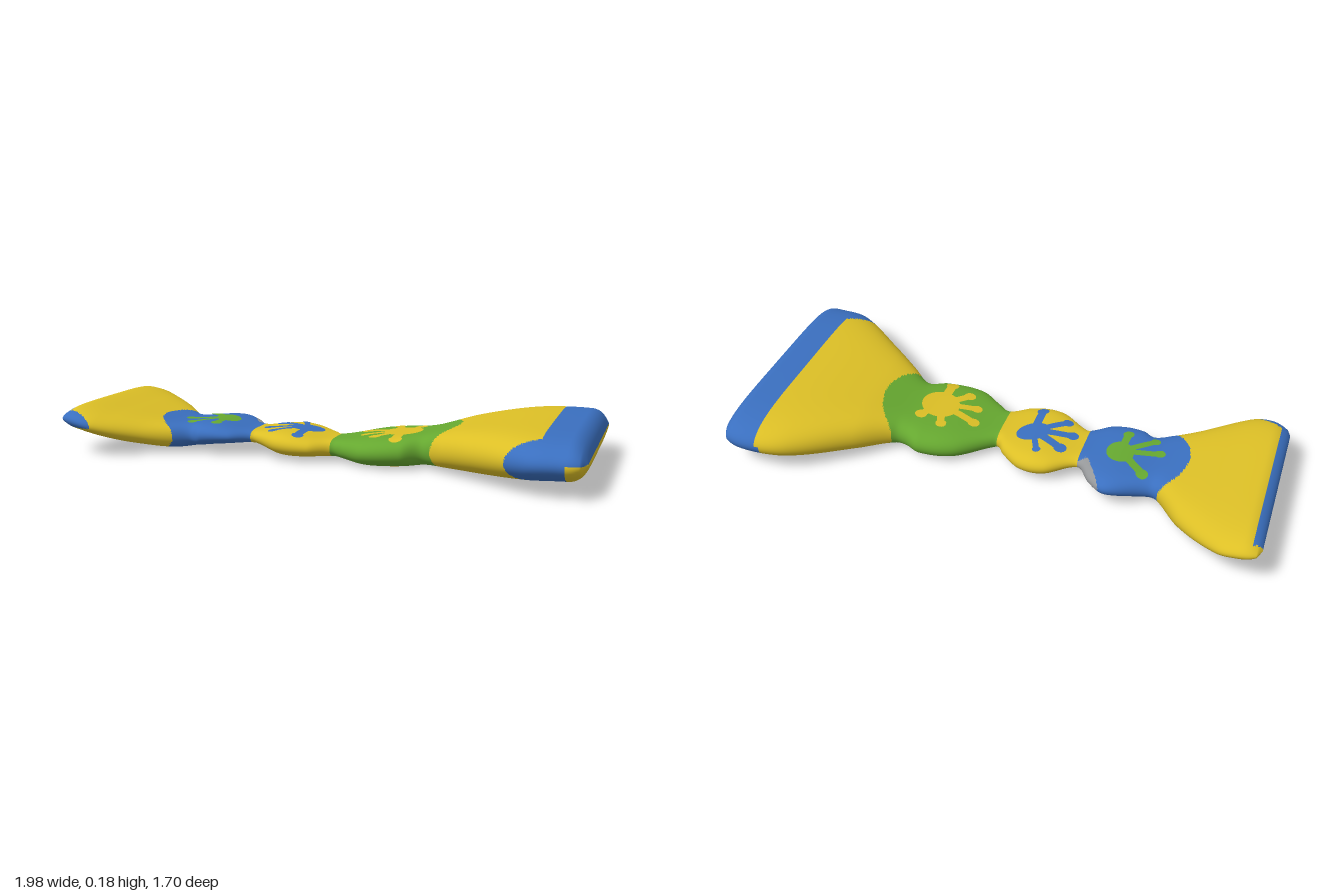
import * as THREE from 'three';
import { mergeGeometries } from 'three/addons/utils/BufferGeometryUtils.js';

const COLORS = { yellow: 0xdcbf26, blue: 0x3a6fbf, green: 0x66a830, grey: 0x96989a };

// The body runs along a slanted axis: u is the distance along it, v across it
const AX = 0.88, AZ = 0.475;
const toUV = (x, z) => [AX * x + AZ * z, -AZ * x + AX * z];
const U0 = -1.0, U1 = 0.936;

// Outline on the back side: [u, v]
const BACK = [[-1, -0.4], [-0.985, -0.434], [-0.923, -0.445], [-0.855, -0.425], [-0.708, -0.3],
  [-0.615, -0.179], [-0.578, -0.165], [-0.437, -0.219], [-0.368, -0.176], [-0.321, -0.11],
  [-0.288, -0.112], [-0.202, -0.164], [-0.108, -0.158], [-0.03, -0.098], [0, -0.06],
  [0.025, -0.07], [0.14, -0.161], [0.263, -0.187], [0.322, -0.163], [0.366, -0.164],
  [0.484, -0.262], [0.672, -0.398], [0.792, -0.43], [0.904, -0.41], [0.936, -0.35]];
// Outline on the front side: [u, v]
const FRONT = [[-1, 0.22], [-0.985, 0.252], [-0.913, 0.289], [-0.843, 0.285], [-0.687, 0.2],
  [-0.6, 0.152], [-0.538, 0.12], [-0.492, 0.141], [-0.38, 0.138], [-0.304, 0.09],
  [-0.274, 0.103], [-0.183, 0.167], [-0.066, 0.172], [0.015, 0.125], [0.06, 0.152],
  [0.145, 0.206], [0.28, 0.201], [0.35, 0.163], [0.428, 0.223], [0.547, 0.318],
  [0.74, 0.464], [0.85, 0.482], [0.915, 0.472], [0.936, 0.42]];
// Upper and lower surface heights: [u, y]
const TOP = [[-1, 0.17], [-0.93, 0.17], [-0.8, 0.145], [-0.6, 0.108], [-0.45, 0.11], [-0.31, 0.09],
  [-0.16, 0.098], [0, 0.078], [0.17, 0.1], [0.33, 0.115], [0.5, 0.155], [0.7, 0.178], [0.936, 0.178]];
const BOTTOM = [[-1, 0.085], [-0.9, 0.07], [-0.75, 0.03], [-0.6, 0.012], [-0.45, 0.03], [-0.31, 0.04],
  [-0.16, 0.012], [0, 0.015], [0.17, 0], [0.4, 0.008], [0.6, 0.015], [0.8, 0.03], [0.936, 0.035]];

// Smooth interpolation in a [u, value] table
function lookup(table, u) {
  const n = table.length - 1;
  let i = 0;
  while (i < n - 1 && u > table[i + 1][0]) i++;
  const slope = k => {
    const a = table[Math.max(k - 1, 0)], b = table[Math.min(k + 1, n)];
    return (b[1] - a[1]) / (b[0] - a[0]);
  };
  const [ua, va] = table[i], [ub, vb] = table[i + 1], w = ub - ua;
  const t = THREE.MathUtils.clamp((u - ua) / w, 0, 1), t2 = t * t, t3 = t2 * t;
  return va * (2 * t3 - 3 * t2 + 1) + vb * (3 * t2 - 2 * t3)
    + w * (slope(i) * (t3 - 2 * t2 + t) + slope(i + 1) * (t3 - t2));
}

// Flattened pillow cross-section at u
function section(u) {
  const a = lookup(BACK, u), b = lookup(FRONT, u), t = lookup(TOP, u), l = lookup(BOTTOM, u);
  const k = 1 - Math.min(1, Math.min(u - U0, U1 - u) / 0.06);
  return { mid: (a + b) / 2, half: (b - a) / 2, y: (t + l) / 2,
    h: (t - l) / 2 * Math.sqrt(Math.max(0, 1 - k * k)) };
}
const bulge = s => Math.sqrt(Math.max(0, 1 - Math.abs(s) ** 5));

// Which part and colour a point of the surface belongs to
function classify(x, y, z) {
  const [u] = toUV(x, z);
  if (u < -0.31) {
    if (u < -0.45 && Math.hypot(x + 0.42, z + 0.25) > 0.2) {
      const corner = x < -0.96 + (z + 0.27) * 0.58 && y > 0.1;
      const edge = u < -0.968 && z > -0.82;
      return corner || edge ? 'smallFanEdge blue' : 'smallFan yellow';
    }
    return x > -0.262 && z < -0.235 ? 'beadSidePatch grey' : 'outerBead blue';
  }
  if (u < 0.008) return 'middleBead yellow';
  if (u < 0.2 || Math.hypot(x - 0.2, z - 0.12) < 0.225) return 'innerBead green';
  const edge = y > 0.11 ? u > 0.785 || z > 0.69
    : (z > 0.69 && u < 0.87) || (z < 0.08 && u > 0.77);
  return edge ? 'largeFanEdge blue' : 'largeFan yellow';
}

// Loft the body once, then share its vertices among the coloured parts
function buildBody(group, materials) {
  const N = 400, M = 120, pos = [], index = [], parts = {};
  for (let i = 0; i <= N; i++) {
    const u = (U0 + U1) / 2 - Math.cos(Math.PI * i / N) * (U1 - U0) / 2;
    const c = section(u);
    for (let j = 0; j < M; j++) {
      const a = 2 * Math.PI * j / M, s = Math.cos(a);
      const v = c.mid + c.half * s;
      pos.push(AX * u - AZ * v, c.y + Math.sign(Math.sin(a)) * c.h * bulge(s), AZ * u + AX * v);
    }
  }
  const addTriangle = (...t) => {
    index.push(...t);
    const m = [0, 1, 2].map(k => (pos[t[0] * 3 + k] + pos[t[1] * 3 + k] + pos[t[2] * 3 + k]) / 3);
    (parts[classify(...m)] ??= []).push(...t);
  };
  for (let i = 0; i < N; i++) for (let j = 0; j < M; j++) {
    const a = i * M + j, c = i * M + (j + 1) % M;
    addTriangle(a, a + M, c);
    addTriangle(a + M, c + M, c);
  }
  const whole = new THREE.BufferGeometry();
  whole.setAttribute('position', new THREE.Float32BufferAttribute(pos, 3));
  whole.setIndex(index);
  whole.computeVertexNormals();
  for (const key in parts) {
    const [name, color] = key.split(' ');
    const g = new THREE.BufferGeometry();
    g.setAttribute('position', whole.attributes.position);
    g.setAttribute('normal', whole.attributes.normal);
    g.setIndex(parts[key]);
    const mesh = new THREE.Mesh(g, materials[color]);
    mesh.name = name;
    group.add(mesh);
  }
}

// Painted hand: palm and round-tipped fingers draped on the upper (1) or lower (-1) surface
function hand(name, material, [px, pz], [rx, rz], fingers, side) {
  const pieces = [new THREE.RingGeometry(0, 1, 32, 6).scale(rx, rz, 1).translate(px, -pz, 0)];
  for (const [tx, tz, w] of fingers) {
    const dx = tx - px, dz = tz - pz, len = Math.hypot(dx, dz);
    pieces.push(new THREE.PlaneGeometry(len, w * 1.4, 12, 3).rotateZ(Math.atan2(-dz, dx))
      .translate(px + dx / 2, -(pz + dz / 2), 0));
    pieces.push(new THREE.RingGeometry(0, w, 16, 3).translate(tx, -tz, 0));
  }
  const g = mergeGeometries(pieces), p = g.attributes.position;
  for (let i = 0; i < p.count; i++) {
    const x = p.getX(i), z = -p.getY(i), [u, v] = toUV(x, z), c = section(u);
    const y = c.y + side * (c.h * bulge(Math.min(1, Math.abs((v - c.mid) / c.half))) + 0.002);
    p.setXYZ(i, x, Math.max(0, y), z);
  }
  if (side < 0) {
    const ix = g.index.array;
    for (let i = 0; i < ix.length; i += 3) [ix[i], ix[i + 1]] = [ix[i + 1], ix[i]];
  }
  g.computeVertexNormals();
  const mesh = new THREE.Mesh(g, material);
  mesh.name = name;
  return mesh;
}

export function createModel() {
  const group = new THREE.Group();
  group.name = 'beadedBow';
  const materials = {};
  for (const name in COLORS) {
    materials[name] = new THREE.MeshStandardMaterial({ color: COLORS[name] });
    materials[name].name = name;
  }
  buildBody(group, materials);

  // Handprints: fingers are [tip x, tip z, tip radius]
  const outer = [[-0.42, -0.37, 0.022], [-0.51, -0.28, 0.02], [-0.515, -0.21, 0.018], [-0.43, -0.155, 0.02]];
  const middle = [[-0.175, -0.17, 0.024], [-0.09, -0.165, 0.015], [-0.235, -0.11, 0.022],
    [-0.235, -0.035, 0.02], [-0.16, 0.055, 0.022]];
  const inner = [[0.105, 0.03, 0.022], [0.225, 0.03, 0.02], [0.08, 0.105, 0.02], [0.095, 0.18, 0.022],
    [0.15, 0.255, 0.024], [0.29, 0.09, 0.022]];
  group.add(
    hand('outerBeadHand', materials.green, [-0.375, -0.245], [0.048, 0.058], outer, 1),
    hand('middleBeadHand', materials.blue, [-0.1, -0.06], [0.062, 0.05], middle, 1),
    hand('innerBeadHand', materials.yellow, [0.21, 0.14], [0.07, 0.075], inner, 1),
    hand('outerBeadUnderPatch', materials.green, [-0.375, -0.225], [0.045, 0.05], [], -1),
    hand('innerBeadUnderHand', materials.yellow, [0.2, 0.14], [0.06, 0.06], inner.slice(2, 5), -1));
  return group;
}
